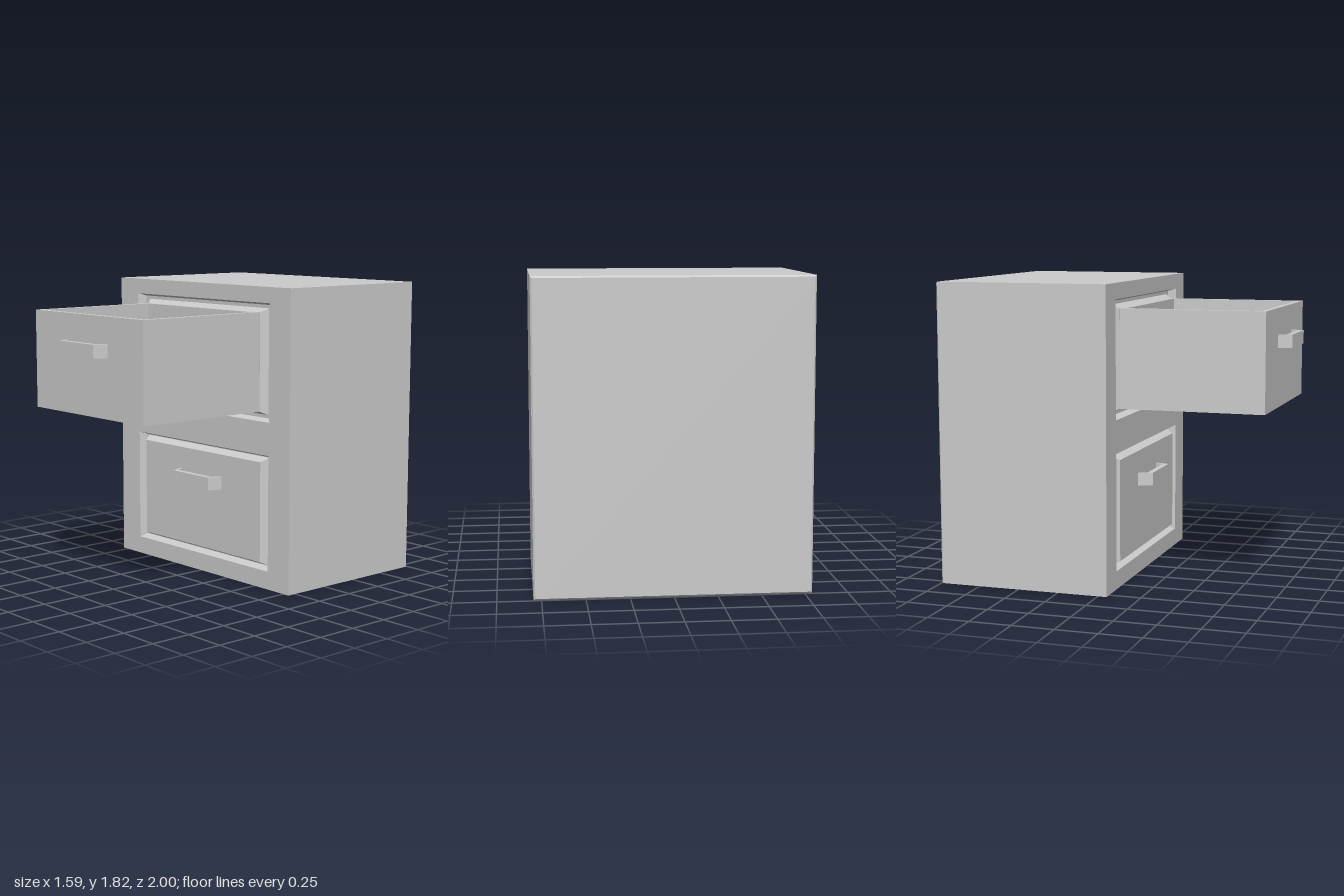
import * as THREE from 'three';

const material = new THREE.MeshStandardMaterial({ color: 0xcccccc });
const FRONT = 0.055;

// Skin a run of rectangles [halfWidth, bottom, top, z]; caps are optional.
function rectLoft(rings, capStart, capEnd) {
  const corners = rings.map(([w, y0, y1, z]) => [[-w, y0, z], [w, y0, z], [w, y1, z], [-w, y1, z]]);
  const pos = [];
  const quad = (a, b, c, d) => pos.push(...a, ...b, ...c, ...a, ...c, ...d);
  for (let k = 0; k < corners.length - 1; k++) {
    const a = corners[k], b = corners[k + 1];
    for (let i = 0; i < 4; i++) {
      const j = (i + 1) % 4;
      quad(a[i], a[j], b[j], b[i]);
    }
  }
  const first = corners[0], last = corners[corners.length - 1];
  if (capStart) quad(first[3], first[2], first[1], first[0]);
  if (capEnd) quad(last[0], last[1], last[2], last[3]);
  const geo = new THREE.BufferGeometry();
  geo.setAttribute('position', new THREE.Float32BufferAttribute(pos, 3));
  geo.computeVertexNormals();
  return geo;
}

function part(name, geometry) {
  const mesh = new THREE.Mesh(geometry, material);
  mesh.name = name;
  return mesh;
}

function rectPath(path, w, y0, y1) {
  path.moveTo(-w, y0);
  path.lineTo(w, y0);
  path.lineTo(w, y1);
  path.lineTo(-w, y1);
  path.closePath();
  return path;
}

// Bracket handle with splayed legs that run through the drawer front.
function handleGeometry() {
  const half = [[0.165, 0.08], [0.205, -0.03], [0.185, -0.03], [0.158, 0.045]];
  const shape = new THREE.Shape();
  const outline = [...half, ...half.slice().reverse().map(([x, z]) => [-x, z])];
  // drawn in x and -z, then stood up so the extrusion runs along y
  shape.setFromPoints(outline.map(([x, z]) => new THREE.Vector2(x, -z)));
  const geo = new THREE.ExtrudeGeometry(shape, { depth: 0.08, bevelEnabled: false });
  geo.rotateX(-Math.PI / 2);
  return geo;
}

export function createModel() {
  const model = new THREE.Group();
  model.name = 'cabinet';

  // Case with a small bevel round the back
  model.add(part('case', rectLoft([
    [0.785, 0.01, 1.805, -1],
    [0.795, 0, 1.815, -0.99],
    [0.795, 0, 1.815, FRONT],
  ], true, false)));

  // Front frame with the two drawer openings
  const frame = rectPath(new THREE.Shape(), 0.795, 0, 1.815);
  frame.holes.push(rectPath(new THREE.Path(), 0.62, 1.015, 1.72));
  frame.holes.push(rectPath(new THREE.Path(), 0.615, 0.11, 0.815));
  const frameGeo = new THREE.ShapeGeometry(frame);
  frameGeo.translate(0, 0, FRONT);
  model.add(part('frontFrame', frameGeo));

  // Upper recess with the bevelled step behind the open drawer
  model.add(part('upperRecess', rectLoft([
    [0.62, 1.015, 1.72, FRONT],
    [0.595, 1.03, 1.705, 0.005],
    [0.56, 1.05, 1.685, 0.005],
    [0.525, 1.07, 1.662, 0.045],
  ], false, true)));

  // Lower drawer, closed, with a groove round its panel
  model.add(part('lowerDrawerFront', rectLoft([
    [0.615, 0.11, 0.815, FRONT],
    [0.595, 0.128, 0.797, 0.005],
    [0.575, 0.132, 0.793, 0.005],
    [0.545, 0.155, 0.768, FRONT],
  ], false, true)));

  // Upper drawer, pulled out and hollow
  const drawerGeo = rectLoft([
    [0.52, -0.92, -0.04, 1.07],
    [0.52, -0.92, -0.04, 1.662],
    [0.485, -0.885, -0.08, 1.662],
    [0.485, -0.885, -0.08, 1.41],
    [0.475, -0.875, -0.09, 1.39],
  ], true, true);
  drawerGeo.rotateX(-Math.PI / 2);
  model.add(part('upperDrawer', drawerGeo));

  // Handles
  for (const [name, y, z] of [['upperHandle', 1.425, 0.92], ['lowerHandle', 0.55, 0.06]]) {
    const handle = part(name, handleGeometry());
    handle.position.set(0, y, z);
    model.add(handle);
  }
  return model;
}
